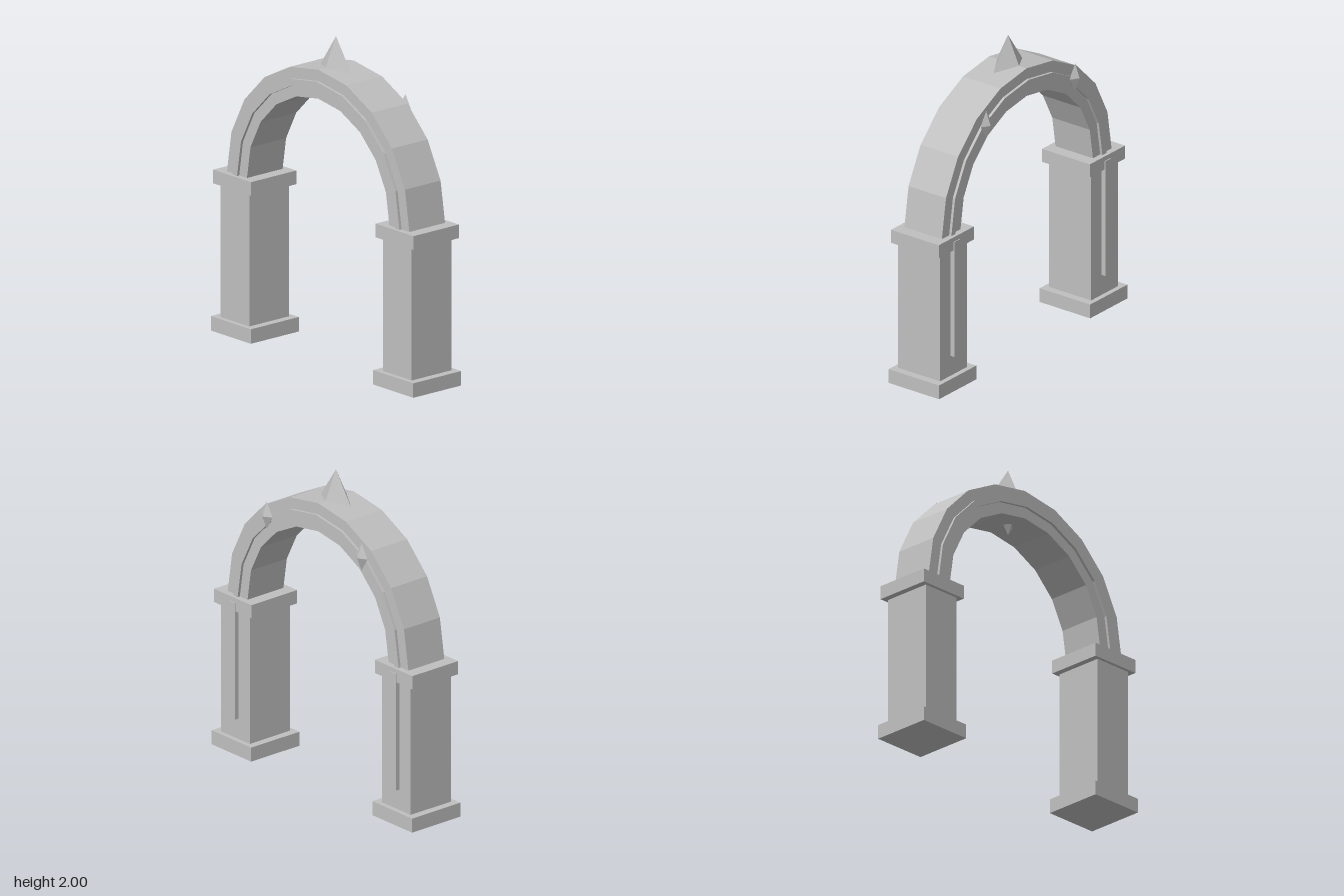
import * as THREE from 'three';

const ZC = 0.005; // depth centre of the masonry
const SPRING = 1.0; // height where the arch starts

export function createModel() {
  const stone = new THREE.MeshStandardMaterial({ color: 0xbfbfbf });
  stone.name = 'stone grey';
  const group = new THREE.Group();
  group.name = 'archway';

  function add(name, geometry, x, y, z) {
    const mesh = new THREE.Mesh(geometry, stone);
    mesh.name = name;
    mesh.position.set(x, y, z);
    group.add(mesh);
  }

  // Block from its bottom to its top height
  function block(name, x, w, y0, y1, z0, z1) {
    add(name, new THREE.BoxGeometry(w, y1 - y0, z1 - z0), x, (y0 + y1) / 2, (z0 + z1) / 2);
  }

  // Half ring of ten straight segments
  function halfRing(name, inner, outer, halfDepth) {
    const points = [];
    const n = 10;
    for (let i = 0; i <= n; i++) {
      const a = (i / n) * Math.PI;
      points.push(new THREE.Vector2(Math.cos(a) * outer, Math.sin(a) * outer));
    }
    for (let i = n; i >= 0; i--) {
      const a = (i / n) * Math.PI;
      points.push(new THREE.Vector2(Math.cos(a) * inner, Math.sin(a) * inner));
    }
    const geometry = new THREE.ExtrudeGeometry(new THREE.Shape(points), {
      depth: halfDepth * 2, bevelEnabled: false,
    });
    add(name, geometry, 0, SPRING, ZC - halfDepth);
  }

  // Stretched eight-faced crystal
  function crystal(name, x, y, z, rx, ry, rz) {
    add(name, new THREE.OctahedronGeometry(1).scale(rx, ry, rz), x, y, z);
  }

  // Arch with a raised rib on both faces
  halfRing('arch', 0.64, 0.82, 0.141);
  halfRing('archRib', 0.71, 0.75, 0.158);

  // Crystal through the crown
  crystal('crownCrystal', 0, 1.7875, ZC, 0.145, 0.2125, 0.098);

  for (const [side, s] of [['left', 1], ['right', -1]]) {
    // Pillar with base, capital and a strip on the back
    const x = s * 0.73;
    block(side + 'Base', x, 0.36, 0, 0.09, ZC - 0.19, ZC + 0.19);
    block(side + 'Pillar', x, 0.26, 0.09, 0.915, ZC - 0.158, ZC + 0.158);
    block(side + 'Capital', x, 0.34, 0.915, SPRING, ZC - 0.18, ZC + 0.18);
    block(side + 'BackStrip', x, 0.054, 0.22, 0.97, -0.181, -0.14);
    // Small crystal on the back of the arch
    crystal(side + 'BackCrystal', s * 0.43, 1.617, -0.166, 0.053, 0.088, 0.033);
  }
  return group;
}
